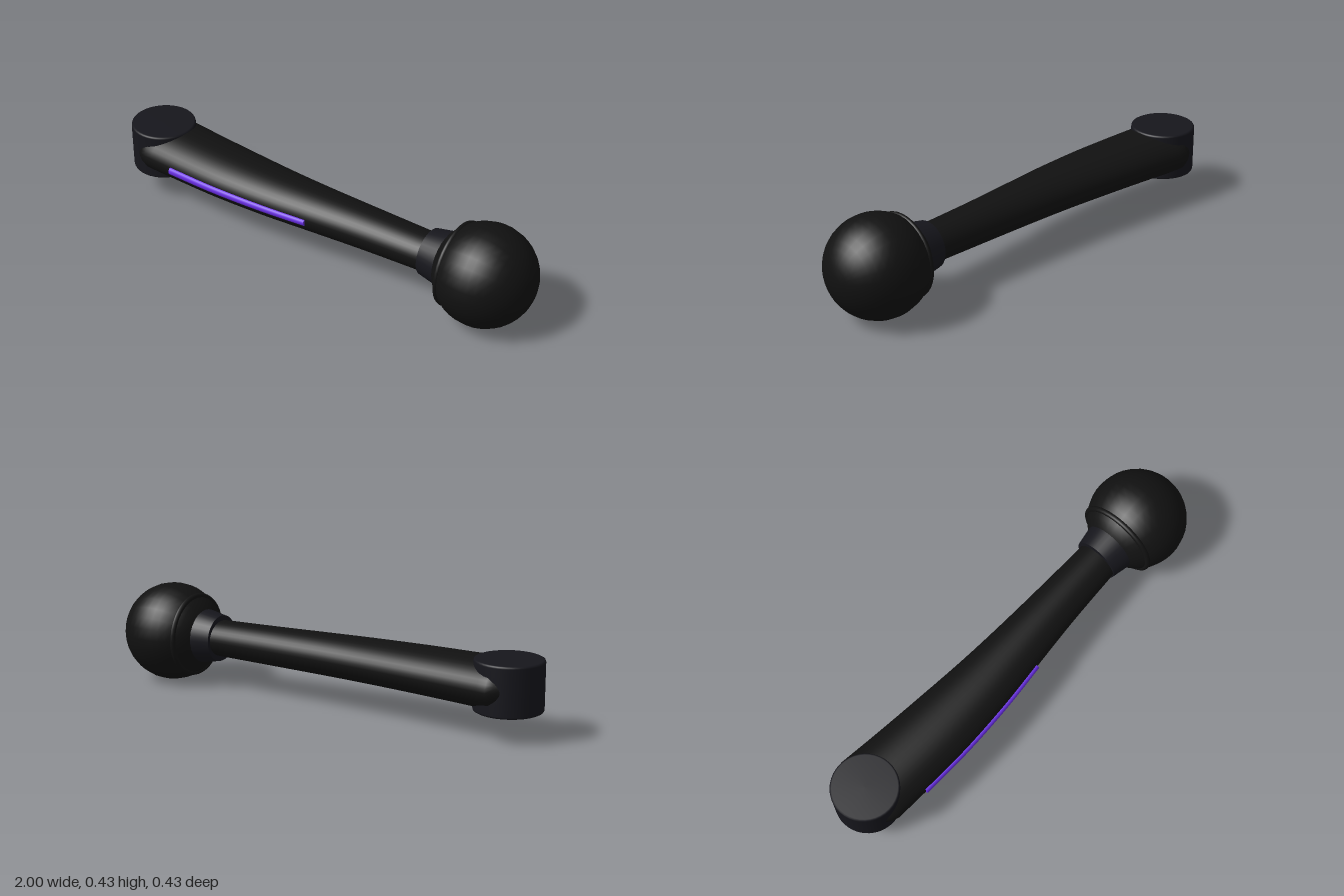
import * as THREE from 'three';

const MID = 0.213; // height of the long axis

// Skin closed loops of points, capping both ends (loops advance along +x, turning from +y to +z)
function loft(rings) {
  const n = rings[0].length, pos = [], idx = [];
  rings.forEach(r => r.forEach(p => pos.push(...p)));
  for (let i = 0; i < rings.length - 1; i++)
    for (let j = 0; j < n; j++) {
      const a = i * n + j, b = i * n + (j + 1) % n;
      idx.push(a, b, a + n, b, b + n, a + n);
    }
  [0, rings.length - 1].forEach(i => {
    const base = pos.length / 3;
    rings[i].forEach(p => pos.push(...p));
    for (let j = 1; j < n - 1; j++)
      idx.push(base, ...(i ? [base + j, base + j + 1] : [base + j + 1, base + j]));
  });
  const g = new THREE.BufferGeometry();
  g.setAttribute('position', new THREE.Float32BufferAttribute(pos, 3));
  g.setIndex(idx);
  g.computeVertexNormals();
  return g;
}

function ellipse(x, zc, ry, rz, n) {
  return Array.from({ length: n }, (_, j) => {
    const t = (j / n) * Math.PI * 2;
    return [x, MID + Math.cos(t) * ry, zc + Math.sin(t) * rz];
  });
}

export function createModel() {
  const model = new THREE.Group();
  const dark = new THREE.MeshStandardMaterial({ color: 0x111111 });
  const metal = new THREE.MeshStandardMaterial({ color: 0x16161c });
  const purple = new THREE.MeshStandardMaterial({ color: 0x6a2ee6 });
  const add = (name, geo, mat, x = 0, y = 0, z = 0) => {
    const m = new THREE.Mesh(geo, mat);
    m.name = name;
    m.position.set(x, y, z);
    model.add(m);
    return m;
  };

  // Upright pivot hub with a small rounded rim
  const hub = [[0, -0.104], [0.132, -0.104], [0.138, -0.101], [0.14, -0.095],
    [0.14, 0.095], [0.138, 0.101], [0.132, 0.104], [0, 0.104]];
  add('pivotHub', new THREE.LatheGeometry(hub.map(p => new THREE.Vector2(...p)), 40),
    metal, -0.86, MID + 0.002);

  // Tapering bowed arm: x, back edge, front edge, half height
  const spine = new THREE.CatmullRomCurve3([
    [-0.84, -0.165, 0.162], [-0.65, -0.145, 0.168], [-0.45, -0.127, 0.17],
    [-0.2, -0.107, 0.157], [0, -0.097, 0.137], [0.25, -0.09, 0.113], [0.56, -0.085, 0.093],
  ].map(p => new THREE.Vector3(...p)));
  const rings = [ellipse(-0.895, 0, 0.08, 0.133, 40), ellipse(-0.868, 0, 0.092, 0.152, 40)];
  for (let i = 0; i <= 30; i++) {
    const p = spine.getPoint(i / 30);
    const halfHeight = THREE.MathUtils.mapLinear(p.x, -0.84, 0.56, 0.102, 0.077);
    rings.push(ellipse(p.x, (p.y + p.z) / 2, halfHeight, (p.z - p.y) / 2, 40));
  }
  add('arm', loft(rings), dark);

  // Accent strip following the front of the arm
  const strip = new THREE.CatmullRomCurve3([
    [-0.69, 0, 0.165], [-0.45, 0, 0.168], [-0.2, 0, 0.156], [0.005, 0, 0.136],
  ].map(p => new THREE.Vector3(...p)));
  const stripRings = [];
  for (let i = 0; i <= 20; i++) {
    const p = strip.getPoint(i / 20);
    stripRings.push(ellipse(p.x, p.z, 0.017 - 0.003 * i / 20, 0.012, 10));
  }
  add('accentStrip', loft(stripRings), purple);

  // Flared collar between arm and ball
  add('collar', new THREE.CylinderGeometry(0.118, 0.1, 0.095, 36), metal, 0.573, MID)
    .rotation.z = -Math.PI / 2;

  // Ball with a raised ring on the collar side
  add('ball', new THREE.SphereGeometry(0.213, 28, 20), dark, 0.787, MID).rotation.z = -Math.PI / 2;
  add('ballRing', new THREE.TorusGeometry(0.169, 0.012, 10, 40), dark, 0.662, MID)
    .rotation.y = Math.PI / 2;

  return model;
}
